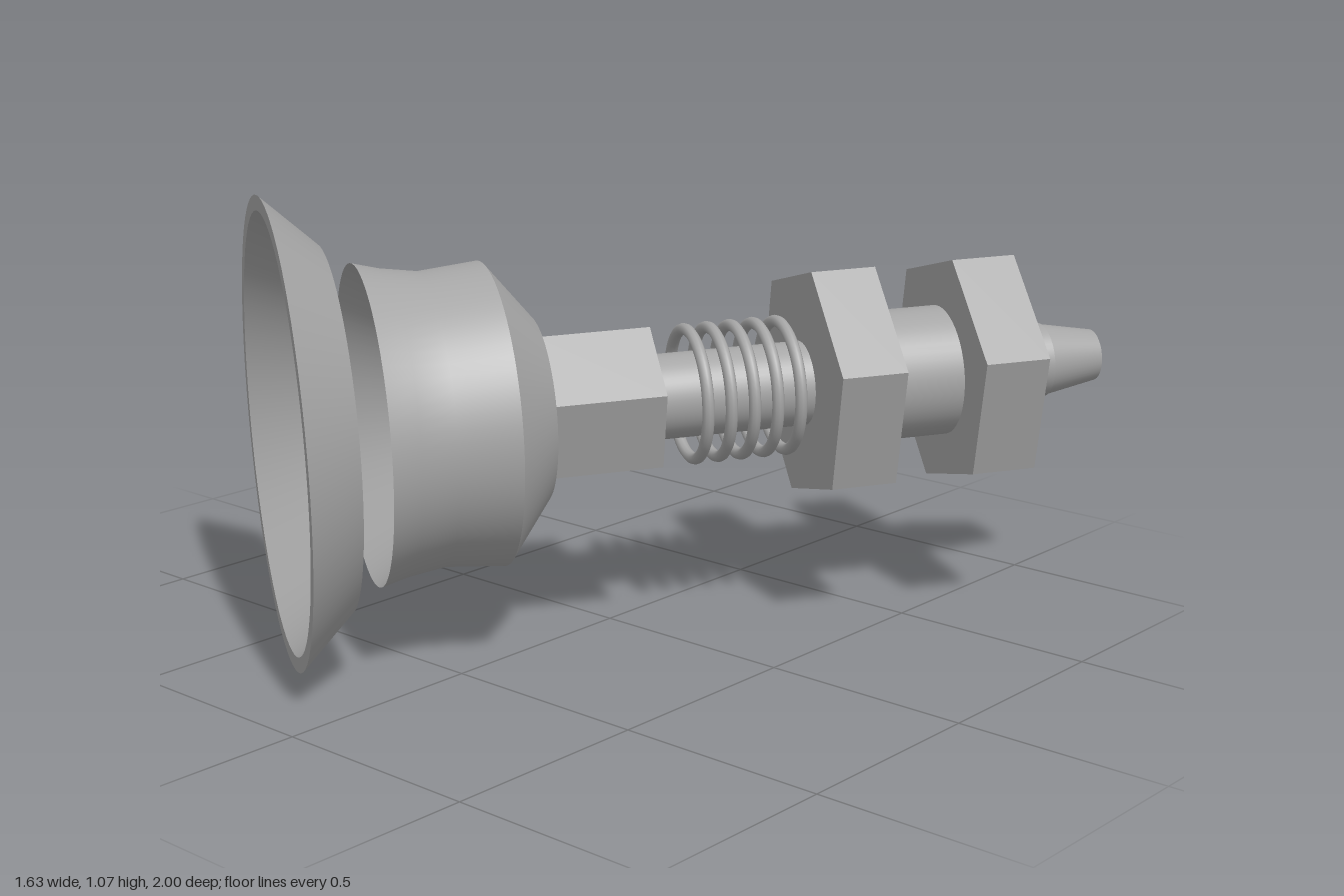
import * as THREE from 'three';
import { toCreasedNormals } from 'three/addons/utils/BufferGeometryUtils.js';

export function createModel() {
  const model = new THREE.Group();
  model.name = 'suctionCupFitting';
  const grey = new THREE.MeshStandardMaterial({ color: 0xa6a6a6 });
  grey.name = 'grey';

  // Everything is built along local +y, from the cup lip (0) to the tip (2).
  const fitting = new THREE.Group();
  fitting.name = 'fitting';
  model.add(fitting);

  const add = (name, geometry) => {
    const mesh = new THREE.Mesh(geometry, grey);
    mesh.name = name;
    fitting.add(mesh);
    return mesh;
  };
  const turned = (name, profile) => {
    const points = profile.map(([r, y]) => new THREE.Vector2(r, y));
    return add(name, toCreasedNormals(new THREE.LatheGeometry(points, 72), 0.5));
  };
  const rod = (name, from, to, r0, r1 = r0) =>
    add(name, new THREE.CylinderGeometry(r1, r0, to - from, 48)).position.y = (from + to) / 2;
  const hex = (name, from, to, r) => {
    const g = new THREE.CylinderGeometry(r, r, to - from, 6, 1, false, Math.PI / 12);
    add(name, toCreasedNormals(g, 0.5)).position.y = (from + to) / 2;
  };

  // Flared lip, a separate ring with a wedge section
  turned('cupLip', [[0.417, 0.126], [0.5, 0], [0.535, 0], [0.417, 0.126]]);

  // Hollow bellows cup: inside floor, inside wall, waist, shoulder, back
  turned('cupBody', [
    [0, 0.51], [0.16, 0.51], [0.367, 0.2], [0.35, 0.265], [0.337, 0.35],
    [0.35, 0.49], [0.216, 0.598], [0, 0.598],
  ]);

  // Hexagonal socket and the stem through the spring
  hex('hexSocket', 0.597, 0.863, 0.186);
  rod('springStem', 0.86, 1.25, 0.1);

  // Spring coils
  for (let i = 0; i < 5; i++) {
    const coil = add('springCoil' + (i + 1), new THREE.TorusGeometry(0.152, 0.014, 10, 64));
    coil.rotation.x = Math.PI / 2;
    coil.position.y = 0.967 + i * 0.056;
  }

  // Threaded sleeve with two mounting nuts
  hex('frontNut', 1.245, 1.402, 0.291);
  rod('sleeve', 1.4, 1.6, 0.155);
  hex('rearNut', 1.595, 1.751, 0.291);

  // Hose nipple
  rod('nippleBase', 1.75, 1.857, 0.09);
  rod('nippleTip', 1.857, 1.993, 0.087, 0.062);

  // Lay the axis diagonally, slightly rising towards the back
  const axis = new THREE.Vector3(0.541, 0.03, -0.841).normalize();
  const side = new THREE.Vector3(0.841, 0, 0.541).normalize();
  const up = new THREE.Vector3().crossVectors(side, axis).normalize();
  fitting.quaternion.setFromRotationMatrix(new THREE.Matrix4().makeBasis(side, axis, up));
  fitting.position.set(-0.367, 0.537, 0.711);
  return model;
}
